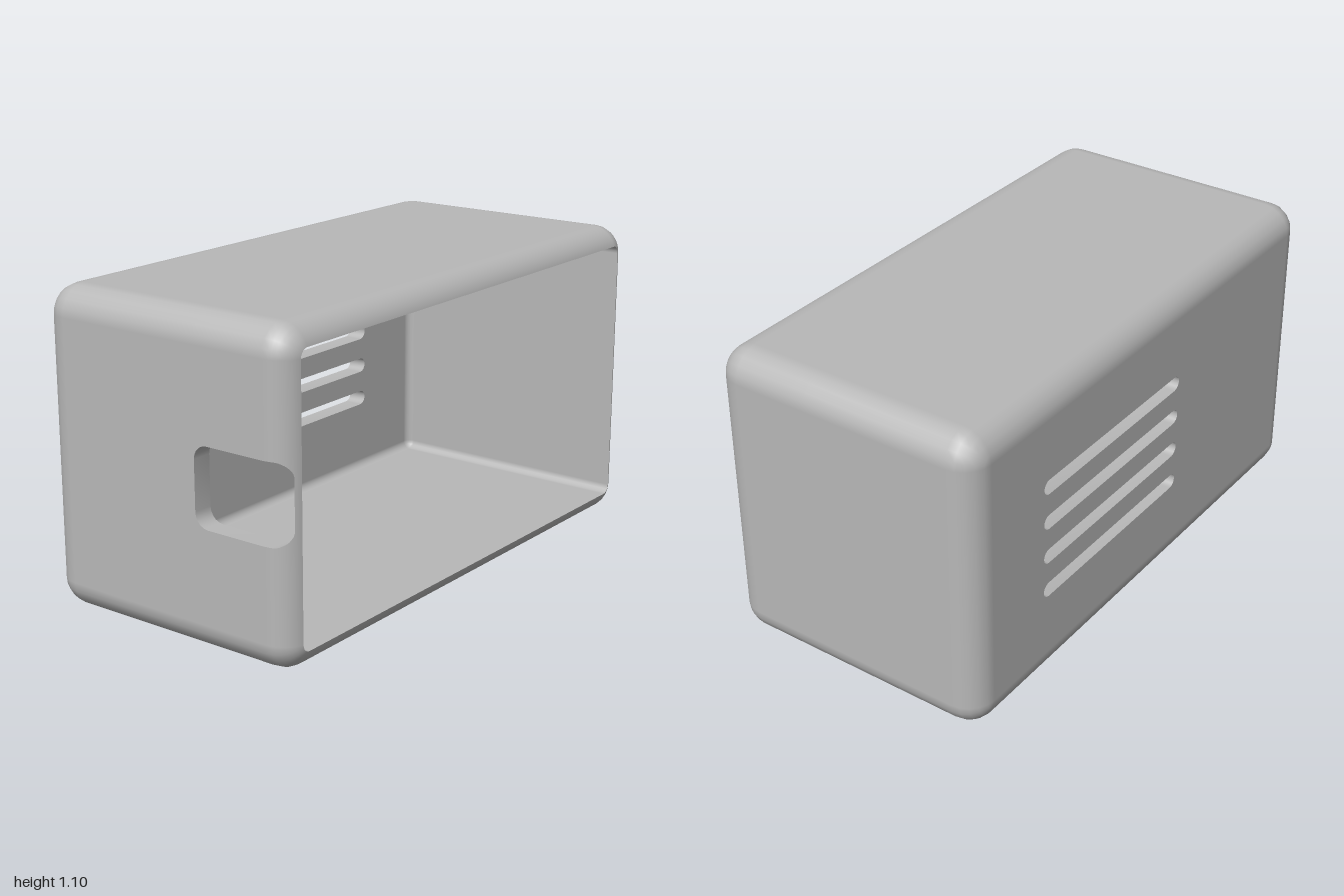
import * as THREE from 'three';
import { toCreasedNormals } from 'three/addons/utils/BufferGeometryUtils.js';

// Outer fillet R and inner fillet r share the same core box, so the wall is R - r thick
const R = 0.1, r = 0.03, N = 5;
const CORE = { x: 0.9, y0: 0.1, y1: 1.0, z0: -0.405, z1: 0.41 };
const RIM = CORE.z1 + Math.sqrt(R * R - r * r);
const PORT = { z0: 0.14, z1: 0.495, y0: 0.42, y1: 0.69, r: 0.05 };

const V = (x, y, z) => new THREE.Vector3(x, y, z);
const clamp = THREE.MathUtils.clamp;

// Direction away from the core box: the exact normal of a rounded box
const away = (p, zMax) => V(
  p.x - clamp(p.x, -CORE.x, CORE.x),
  p.y - clamp(p.y, CORE.y0, CORE.y1),
  p.z - clamp(p.z, CORE.z0, zMax)).normalize();
const outerNormal = p => away(p, CORE.z1);
const innerNormal = p => away(p, 9).negate();

// Triangle soup whose winding follows the given normal rule
function toGeometry(tris, normalAt) {
  const pos = [], nor = [];
  for (const [a, b, c] of tris) {
    const face = b.clone().sub(a).cross(c.clone().sub(a));
    if (face.lengthSq() < 1e-16) continue;
    const ref = normalAt(a).add(normalAt(b)).add(normalAt(c));
    for (const p of face.dot(ref) < 0 ? [a, c, b] : [a, b, c]) {
      pos.push(p.x, p.y, p.z);
      nor.push(...normalAt(p).toArray());
    }
  }
  const g = new THREE.BufferGeometry();
  g.setAttribute('position', new THREE.Float32BufferAttribute(pos, 3));
  g.setAttribute('normal', new THREE.Float32BufferAttribute(nor, 3));
  return g;
}
const quad = (t, a, b, c, d) => t.push([a, b, c], [a, c, d]);

// Rounded rectangle cross-section at depth z
function section(z, radius) {
  const corners = [[1, CORE.y1], [-1, CORE.y1], [-1, CORE.y0], [1, CORE.y0]];
  return corners.flatMap(([sx, y], k) => Array.from({ length: N + 1 }, (_, i) => {
    const a = (k + i / N) * Math.PI / 2;
    return V(sx * CORE.x + radius * Math.cos(a), y + radius * Math.sin(a), z);
  }));
}
const LEFT_FLAT = 2 * (N + 1) - 1; // the section edge on the -x wall

// Outline of the side port: half height by depth
function portHalf(z) {
  const h = (PORT.y1 - PORT.y0) / 2;
  const d = Math.max(PORT.z0 + PORT.r - z, z - PORT.z1 + PORT.r, 0);
  return h - PORT.r + Math.sqrt(Math.max(0, PORT.r ** 2 - d * d));
}

// Depth stations shared by the walls and the port
function depthStations() {
  const zs = [CORE.z0, CORE.z1];
  const end = Math.acos(r / R);
  for (let i = 1; i <= N; i++) zs.push(CORE.z1 + R * Math.sin(end * i / N));
  for (let i = 0; i <= N; i++) {
    const d = PORT.r * (1 - Math.cos(i / N * Math.PI / 2));
    zs.push(PORT.z0 + d, PORT.z1 - d);
  }
  return zs.sort((a, b) => a - b);
}
const outerRadius = z => z <= CORE.z1 ? R : Math.sqrt(Math.max(r * r, R * R - (z - CORE.z1) ** 2));
const innerRadius = () => r;

// Walls of one skin, with the port left open in the -x wall
function skin(zs, radiusAt, fillet) {
  const tris = [], rings = [];
  for (let i = 0; i < N; i++) {
    const a = i / N * Math.PI / 2;
    rings.push(section(CORE.z0 - fillet * Math.cos(a), fillet * Math.sin(a)));
  }
  const firstWall = rings.length;
  zs.forEach(z => rings.push(section(z, radiusAt(z))));
  for (let k = 0; k + 1 < rings.length; k++) {
    const A = rings[k], B = rings[k + 1];
    A.forEach((p, i) => {
      const j = (i + 1) % A.length;
      if (k < firstWall || i !== LEFT_FLAT) quad(tris, p, A[j], B[j], B[i]);
    });
  }
  const mid = (PORT.y0 + PORT.y1) / 2;
  for (let k = 0; k + 1 < zs.length; k++) {
    const a = zs[k], b = zs[k + 1];
    const P = (z, y) => V(-CORE.x - radiusAt(z), y, z);
    if (a >= PORT.z0 - 1e-9 && b <= PORT.z1 + 1e-9) {
      for (const [s, y] of [[-1, CORE.y0], [1, CORE.y1]])
        quad(tris, P(a, y), P(b, y), P(b, mid + s * portHalf(b)), P(a, mid + s * portHalf(a)));
    } else quad(tris, P(a, CORE.y0), P(b, CORE.y0), P(b, CORE.y1), P(a, CORE.y1));
  }
  return tris;
}

// Rounded vent slots in the back
const SLOTS = [0.355, 0.488, 0.621, 0.754];
function slotPoints(y) {
  const rad = 0.027, x0 = -0.17 + rad, x1 = 0.63 - rad, pts = [];
  for (const [cx, start] of [[x1, -Math.PI / 2], [x0, Math.PI / 2]])
    for (let i = 0; i <= 8; i++) {
      const a = start + i / 8 * Math.PI;
      pts.push(new THREE.Vector2(cx + rad * Math.cos(a), y + rad * Math.sin(a)));
    }
  return pts;
}

// Flat back panel with slots at depth z
function backPanel(z) {
  const { x, y0, y1 } = CORE;
  const shape = new THREE.Shape([[-x, y0], [x, y0], [x, y1], [-x, y1]].map(p => new THREE.Vector2(...p)));
  SLOTS.forEach(y => shape.holes.push(new THREE.Path(slotPoints(y))));
  const g = new THREE.ShapeGeometry(shape).toNonIndexed().getAttribute('position');
  const tris = [];
  for (let i = 0; i < g.count; i += 3)
    tris.push([0, 1, 2].map(j => V(g.getX(i + j), g.getY(i + j), z)));
  return tris;
}

// Cut faces joining two matching outlines, facing the middle of the opening
function tunnel(A, B, inward) {
  const tris = [];
  A.forEach((p, i) => {
    const j = (i + 1) % A.length;
    quad(tris, p, A[j], B[j], B[i]);
  });
  return toCreasedNormals(toGeometry(tris, inward), 0.6);
}

export function createModel() {
  const model = new THREE.Group();
  model.name = 'enclosure';
  const grey = new THREE.MeshStandardMaterial({ color: 0xb8b8b8 });
  grey.name = 'grey plastic';
  const add = (name, geometry) => {
    const mesh = new THREE.Mesh(geometry, grey);
    mesh.name = name;
    model.add(mesh);
  };
  const zs = depthStations();

  // Outer and inner skins, meeting at the open front rim
  add('outerShell', toGeometry([...skin(zs, outerRadius, R), ...backPanel(CORE.z0 - R)], outerNormal));
  add('innerShell', toGeometry([...skin(zs, innerRadius, r), ...backPanel(CORE.z0 - r)], innerNormal));

  // Thickness of the vent slots
  SLOTS.forEach((y, i) => {
    const pts = slotPoints(y);
    const at = z => pts.map(p => V(p.x, p.y, z));
    add('ventSlot' + (i + 1), tunnel(at(CORE.z0 - R), at(CORE.z0 - r),
      p => V(clamp(p.x, -0.143, 0.603) - p.x, y - p.y, 0).normalize()));
  });

  // Thickness of the side port
  const mid = (PORT.y0 + PORT.y1) / 2;
  const inPort = zs.filter(z => z >= PORT.z0 - 1e-9 && z <= PORT.z1 + 1e-9);
  const outline = [
    ...inPort.map(z => [mid - portHalf(z), z]),
    ...inPort.slice().reverse().map(z => [mid + portHalf(z), z])];
  add('sidePort', tunnel(
    outline.map(([y, z]) => V(-CORE.x - outerRadius(z), y, z)),
    outline.map(([y, z]) => V(-CORE.x - r, y, z)),
    p => V(0, mid - p.y, (PORT.z0 + PORT.z1) / 2 - p.z).normalize()));
  return model;
}
